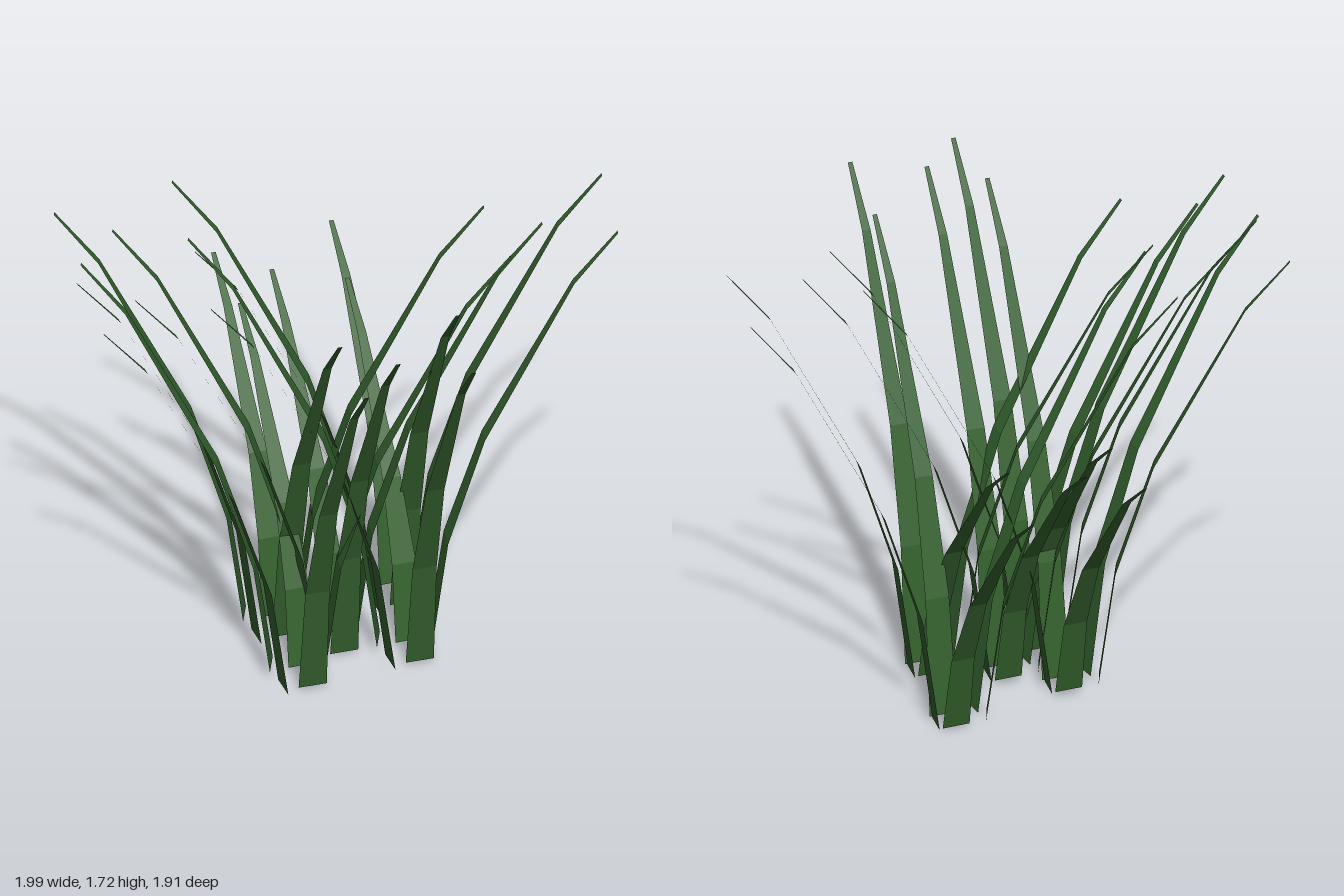
import * as THREE from 'three';

// Shared blade profile: [outward reach, height, width]
const PROFILE = [
  [0, 0, 0.104],
  [0.06, 0.435, 0.09],
  [0.195, 0.855, 0.068],
  [0.52, 1.475, 0.032],
  [0.68, 1.67, 0.017],
];

// Roots of the five blades in every tuft, relative to the tuft's centre
const ROOTS = [
  [0.297, -0.014, -0.258],
  [0.242, 0, 0.129],
  [0, 0, 0],
  [-0.168, 0, 0.174],
  [-0.168, 0, -0.162],
];

// Each tuft: its centre, the way its blades lean (x, z) and their height
const TUFTS = [
  { name: 'frontBlade', centre: [-0.042, 0.015, 0.1], lean: [0, 1], scale: 1 },
  { name: 'backBlade', centre: [-0.045, 0.025, -0.02], lean: [-0.03, -0.68], scale: 0.67 },
  { name: 'leftBlade', centre: [0.02, 0.03, 0.01], lean: [0.676, 0.075], scale: 1 },
  { name: 'rightBlade', centre: [-0.15, 0.026, 0.097], lean: [-0.68, 0.047], scale: 1 },
  { name: 'rightBackBlade', centre: [-0.16, 0.05, -0.02], lean: [-0.63, -0.255], scale: 1 },
];

// Tapering ribbon that arches towards +x
function bladeGeometry(heightScale) {
  const positions = [];
  const index = [];
  PROFILE.forEach(([reach, height, width], i) => {
    positions.push(reach, height * heightScale, -width / 2);
    positions.push(reach, height * heightScale, width / 2);
    if (i > 0) {
      const a = (i - 1) * 2;
      index.push(a, a + 1, a + 2, a + 1, a + 3, a + 2);
    }
  });
  const geometry = new THREE.BufferGeometry();
  geometry.setAttribute('position', new THREE.Float32BufferAttribute(positions, 3));
  geometry.setIndex(index);
  geometry.computeVertexNormals();
  return geometry;
}

export function createModel() {
  const model = new THREE.Group();
  model.name = 'grassClump';
  const green = new THREE.MeshStandardMaterial({
    name: 'grassGreen', color: 0x33602d, flatShading: true, side: THREE.DoubleSide,
  });

  for (const { name, centre, lean, scale } of TUFTS) {
    const geometry = bladeGeometry(scale);
    const tuft = new THREE.Group();
    tuft.name = `${name}Tuft`;
    tuft.position.set(...centre);
    ROOTS.forEach((root, i) => {
      const blade = new THREE.Mesh(geometry, green);
      blade.name = `${name}${i + 1}`;
      blade.position.set(...root);
      blade.rotation.y = Math.atan2(-lean[1], lean[0]);
      tuft.add(blade);
    });
    model.add(tuft);
  }
  return model;
}
